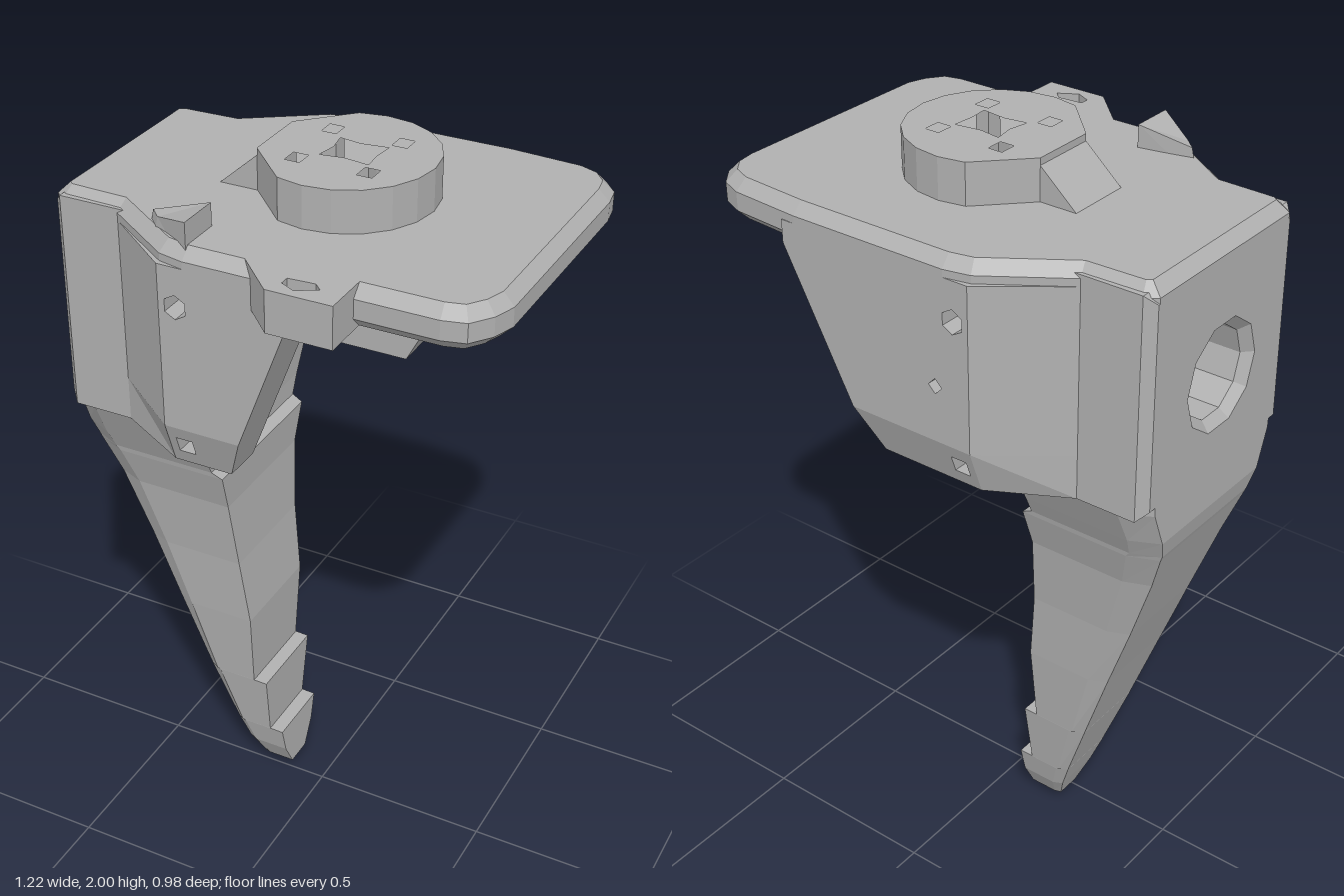
import * as THREE from 'three';

const grey = new THREE.MeshStandardMaterial({ color: 0xb0b0b0, flatShading: true });
grey.name = 'grey plastic';

const path = (pts, Type = THREE.Shape) => new Type(pts.map(p => new THREE.Vector2(...p)));
const ring = (x, y, r, n, start = 0) => Array.from({ length: n }, (_, i) => {
  const a = start + i / n * Math.PI * 2;
  return [x + r * Math.cos(a), y + r * Math.sin(a)];
});

function extrude(pts, holes, depth, bevel = 0) {
  const shape = path(pts);
  holes.forEach(h => shape.holes.push(path(h, THREE.Path)));
  const g = new THREE.ExtrudeGeometry(shape, {
    depth: depth - 2 * bevel, bevelEnabled: bevel > 0, bevelSize: bevel,
    bevelThickness: bevel, bevelOffset: -bevel, bevelSegments: 1,
  });
  return g.translate(0, 0, bevel);
}
// Plan outline given as (x, z), raised from y0 to y1
const raise = (pts, holes, y0, y1, bevel) => {
  const flip = list => list.map(([x, z]) => [x, -z]);
  return extrude(flip(pts), holes.map(flip), y1 - y0, bevel).rotateX(-Math.PI / 2).translate(0, y0, 0);
};
// Draw the lower outer edge of a side wall inward
function taper(g) {
  const p = g.attributes.position;
  for (let i = 0; i < p.count; i++) {
    const z = p.getZ(i), drop = Math.max(0, 1.4 - p.getY(i));
    if (Math.abs(z) > 0.44) p.setZ(i, z - Math.sign(z) * drop * 0.35);
  }
  g.computeVertexNormals();
  return g;
}

// Leg lofted from sections: [y, back x, front x, half width]
function legGeometry() {
  const rows = [
    [0, -0.16, -0.12, 0.015], [0.025, -0.195, -0.1, 0.04], [0.1, -0.225, -0.1, 0.08],
    [0.18, -0.255, -0.1, 0.1], [0.181, -0.255, -0.14, 0.1], [0.37, -0.325, -0.135, 0.127],
    [0.371, -0.325, -0.175, 0.127], [0.6, -0.407, -0.17, 0.148], [0.8, -0.48, -0.192, 0.162],
    [1.0, -0.552, -0.205, 0.188], [1.11, -0.592, -0.2, 0.222], [1.125, -0.598, -0.23, 0.225],
    [1.18, -0.61, -0.23, 0.25], [1.28, -0.61, -0.225, 0.295], [1.32, -0.61, -0.225, 0.298],
  ];
  const n = 6, pos = [], idx = [];
  for (const [y, b, f, w] of rows) {
    const m = b + (f - b) * 0.2;
    [[f, w], [f, -w], [m, -w], [b, -w * 0.85], [b, w * 0.85], [m, w]].forEach(([x, z]) => pos.push(x, y, z));
  }
  for (let r = 0; r < rows.length - 1; r++) {
    for (let i = 0; i < n; i++) {
      const a = r * n + i, b = r * n + (i + 1) % n;
      idx.push(a, b, b + n, a, b + n, a + n);
    }
  }
  const top = (rows.length - 1) * n;
  for (let i = 1; i < n - 1; i++) idx.push(0, i + 1, i, top, top + i, top + i + 1);
  const g = new THREE.BufferGeometry();
  g.setAttribute('position', new THREE.Float32BufferAttribute(pos, 3));
  g.setIndex(idx);
  g.computeVertexNormals();
  return g;
}

export function createModel() {
  const model = new THREE.Group();
  const body = new THREE.Group();
  body.name = 'bracket';
  body.position.z = -0.04; // the bracket is symmetric about this plane
  model.add(body);
  const add = (name, g) => {
    const m = new THREE.Mesh(g, grey);
    m.name = name;
    body.add(m);
  };

  // Top plate, open under the disc
  add('topPlate', raise([
    [-0.61, -0.27], [-0.58, -0.295], [-0.42, -0.3], [-0.22, -0.435], [-0.15, -0.45], [0.3, -0.45],
    [0.5, -0.435], [0.56, -0.41], [0.6, -0.36], [0.61, -0.3], [0.61, 0.3], [0.59, 0.36], [0.55, 0.415],
    [0.49, 0.43], [0.22, 0.43], [0.15, 0.45], [-0.15, 0.45], [-0.22, 0.435], [-0.42, 0.3],
    [-0.58, 0.295], [-0.61, 0.27],
  ], [ring(0.05, 0, 0.16, 8, Math.PI / 8)], 1.78, 1.89, 0.03));

  // Solid back block with a bore running through along x
  add('backBlock', extrude(
    [[-0.3, 1.28], [0.3, 1.28], [0.3, 1.87], [-0.3, 1.87]],
    [ring(-0.01, 1.54, 0.12, 10)], 0.39, 0.025,
  ).rotateY(Math.PI / 2).translate(-0.61, 0, 0));

  // Side walls: flared rear, two-layer panel with blind sockets, tapered foot
  for (const s of [1, -1]) {
    const side = s > 0 ? 'left' : 'right';
    const topX = s > 0 ? 0.13 : 0.34, lowX = s > 0 ? -0.06 : 0.08;
    const midX = lowX + (topX - lowX) * 0.24;
    const upper = [[-0.22, 1.4], [midX, 1.4], [topX, 1.78], [topX, 1.84], [-0.22, 1.84]];
    const lower = [[-0.22, 1.28], [lowX, 1.28], [midX, 1.4], [-0.22, 1.4]];
    const sockets = [ring(-0.175, 1.735, 0.032, 6, Math.PI / 6)];
    if (s < 0) sockets.push(ring(-0.12, 1.55, 0.02, 4));
    const recess = s < 0 ? [ring(0.12, 1.535, 0.06, 6)] : [];
    const layer = (pts, holes, z) => taper(extrude(pts, holes, 0.075).translate(0, 0, s > 0 ? z : -z - 0.075));
    add(side + 'WallOuter', layer(upper, sockets, 0.375));
    add(side + 'WallInner', layer(upper, recess, 0.3));
    add(side + 'FootOuter', layer(lower, [ring(-0.175, 1.34, 0.032, 4, Math.PI / 4)], 0.375));
    add(side + 'FootInner', layer(lower, [], 0.3));
    const flare = [[-0.42, s * 0.3], [-0.22, s * 0.45], [-0.22, s * 0.3]];
    add(side + 'Flare', raise(flare, [], 1.4, 1.84));
    add(side + 'FlareFoot', taper(raise(flare, [], 1.28, 1.4)));
  }

  // Raised disc with a central opening and four slots
  const rim = [[-0.15, -0.09]];
  for (let i = 0; i <= 12; i++) {
    const a = (-110 + i * 220 / 12) * Math.PI / 180;
    rim.push([0.05 + 0.228 * Math.cos(a), 0.228 * Math.sin(a)]);
  }
  rim.push([-0.15, 0.09]);
  const slot = (x, z) => [[x - 0.02, z - 0.023], [x + 0.02, z - 0.023], [x + 0.02, z + 0.023], [x - 0.02, z + 0.023]];
  const slots = [-0.04, 0.15].flatMap(x => [slot(x, -0.095), slot(x, 0.095)]);
  const opening = [[0, -0.055], [0.06, -0.045], [0.13, -0.055], [0.125, 0], [0.13, 0.055], [0.06, 0.045], [0, 0.055], [0.01, 0]];
  add('disc', raise(rim, [opening, ...slots], 1.86, 2));

  // Ramp leading up to the disc
  add('ramp', extrude([[-0.27, 1.87], [-0.14, 1.87], [-0.14, 1.99], [-0.26, 1.885]], [], 0.18).translate(0, 0, -0.09));

  // Slotted tab on the front edge
  add('tab', raise([[-0.02, 0.4], [0.02, 0.44], [0.11, 0.53], [0.28, 0.53], [0.28, 0.4]],
    [[[0.13, 0.46], [0.2, 0.455], [0.22, 0.475], [0.17, 0.505], [0.13, 0.485]]], 1.78, 1.89));

  // Small peak on the front edge
  const peak = raise([[-0.31, 0.34], [-0.15, 0.31], [-0.15, 0.43], [-0.28, 0.37]], [], 1.83, 1.95);
  const p = peak.attributes.position;
  for (let i = 0; i < p.count; i++) {
    if (p.getY(i) > 1.9 && p.getX(i) < -0.2) p.setXYZ(i, p.getX(i) + 0.02, 1.915, p.getZ(i));
  }
  peak.computeVertexNormals();
  add('peak', peak);

  add('leg', legGeometry());
  return model;
}
